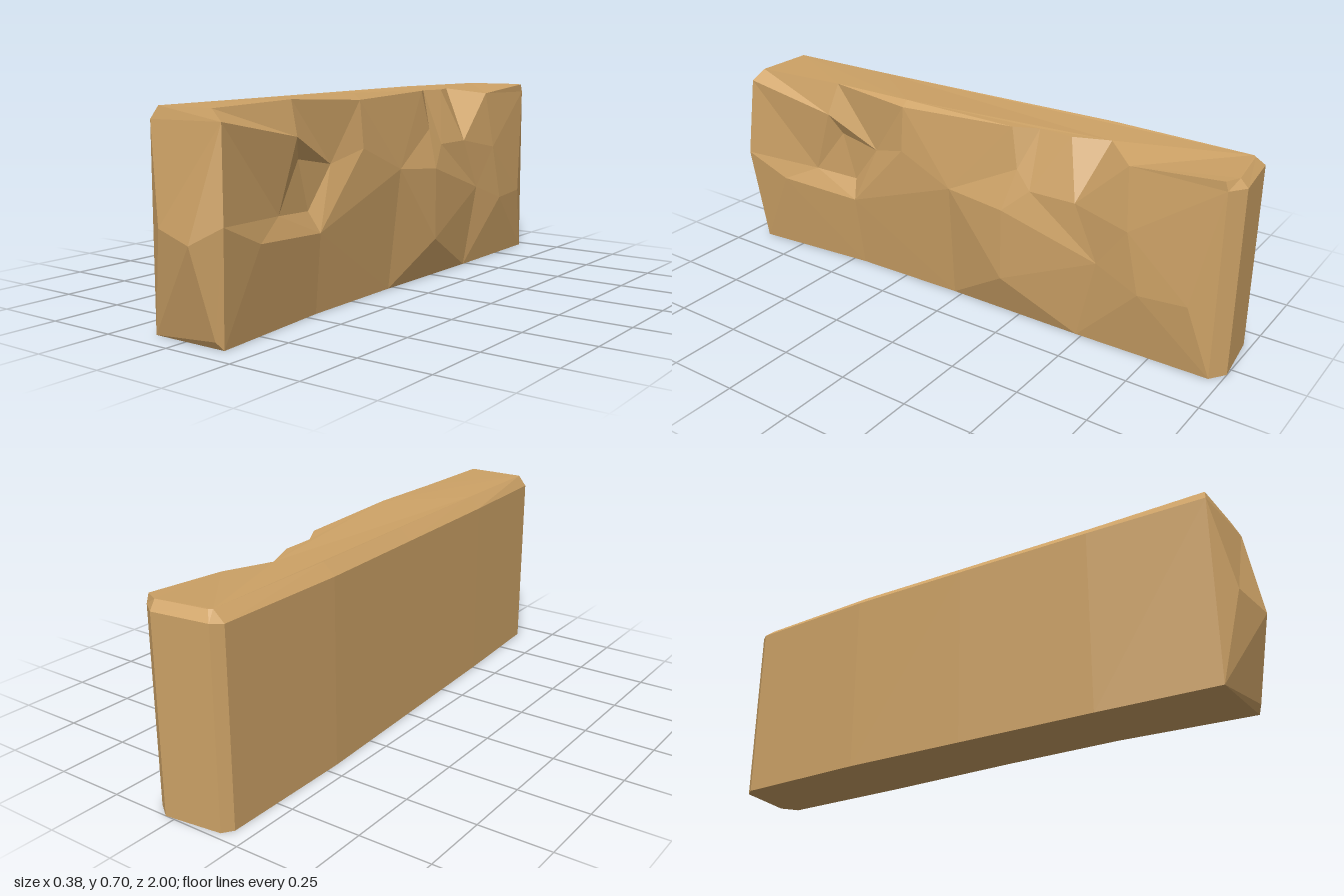
import * as THREE from 'three';

const V = (p) => new THREE.Vector3(...p);

// Collects triangles, turning each one to face the given direction.
function makeFacets(name, material) {
  const pos = [];
  const tri = (a, b, c, dir) => {
    const n = V(b).sub(V(a)).cross(V(c).sub(V(a)));
    if (n.length() < 1e-9) return;
    pos.push(...a, ...(n.dot(V(dir)) > 0 ? [...b, ...c] : [...c, ...b]));
  };
  const strip = (r1, r2, dir) => {
    for (let i = 0; i < r1.length - 1; i++) {
      tri(r1[i], r1[i + 1], r2[i], dir);
      tri(r1[i + 1], r2[i + 1], r2[i], dir);
    }
  };
  const cap = (loop, dir) => {
    const flat = loop.map((p) => new THREE.Vector2(p[0], p[2]));
    for (const t of THREE.ShapeUtils.triangulateShape(flat, [])) tri(...t.map((i) => loop[i]), dir);
  };
  const mesh = () => {
    const g = new THREE.BufferGeometry();
    g.setAttribute('position', new THREE.Float32BufferAttribute(pos, 3));
    g.computeVertexNormals();
    const m = new THREE.Mesh(g, material);
    m.name = name;
    return m;
  };
  return { tri, strip, cap, mesh };
}

// Delaunay triangulation of 2D points, returns index triples.
function delaunay(points) {
  const n = points.length;
  const p = [...points, [-1000, -900], [1000, -900], [0, 1100]];
  const circle = (t) => {
    const [[ax, ay], [bx, by], [cx, cy]] = t.map((i) => p[i]);
    const x1 = bx - ax, y1 = by - ay, x2 = cx - ax, y2 = cy - ay;
    const d = 2 * (x1 * y2 - y1 * x2), l1 = x1 * x1 + y1 * y1, l2 = x2 * x2 + y2 * y2;
    const ux = (y2 * l1 - y1 * l2) / d, uy = (x1 * l2 - x2 * l1) / d;
    return { t, x: ax + ux, y: ay + uy, r: ux * ux + uy * uy };
  };
  let tris = [circle([n, n + 1, n + 2])];
  for (let i = 0; i < n; i++) {
    const edges = new Map();
    tris = tris.filter((c) => {
      if ((p[i][0] - c.x) ** 2 + (p[i][1] - c.y) ** 2 >= c.r) return true;
      for (let k = 0; k < 3; k++) {
        const e = [c.t[k], c.t[(k + 1) % 3]].sort((a, b) => a - b);
        const key = e.join();
        if (edges.has(key)) edges.delete(key);
        else edges.set(key, e);
      }
      return false;
    });
    for (const [a, b] of edges.values()) tris.push(circle([a, b, i]));
  }
  return tris.map((c) => c.t).filter((t) => t.every((i) => i < n));
}

export function createModel() {
  const group = new THREE.Group();
  group.name = 'stoneBlock';
  const stone = new THREE.MeshStandardMaterial({ color: 0xcda266, flatShading: true });
  stone.name = 'sandstone';

  // Upper edge of the chipped side, front to back, with the notch
  const rim = [
    [0.115, 0.69, 0.91], [0.10, 0.697, 0.55], [0.10, 0.70, 0.23], [0.085, 0.69, -0.2],
    [0.04, 0.687, -0.28], [0.04, 0.685, -0.4], [-0.01, 0.683, -0.52], [0.10, 0.662, -0.64],
    [0.09, 0.685, -0.95],
  ];
  // Lower edge of the chipped side
  const foot = [[0.155, 0, 0.92], [0.11, 0, 0.45], [0.10, 0, 0.03], [0.10, 0, -0.48], [0.09, 0, -0.96]];
  const frontRidge = [0.19, 0.365, 0.95], frontShoulder = [0.165, 0.655, 0.925];
  const body = [
    frontRidge, frontShoulder, [0.125, 0.68, 0.23], [0.09, 0.655, -0.96],
    // dent: outline, then floor
    [0.175, 0.29, 0.78], [0.14, 0.585, 0.57], [0.14, 0.52, 0.23], [0.14, 0.27, 0.46],
    [0.13, 0.35, 0.65], [0.108, 0.51, 0.53], [0.11, 0.48, 0.37], [0.105, 0.34, 0.48],
    // bulges and notch base
    [0.145, 0.43, 0.02], [0.15, 0.41, -0.2], [0.15, 0.15, -0.2], [0.10, 0.55, -0.23],
    [0.115, 0.49, -0.29], [0.11, 0.49, -0.46], [0.115, 0.3, -0.55], [0.125, 0.45, -0.66],
    [0.13, 0.24, -0.71], [0.12, 0.25, -0.88],
  ];
  const side = makeFacets('chippedSide', stone);
  const pts = [...rim, ...foot, ...body];
  for (const t of delaunay(pts.map((p) => [p[2], p[1]]))) {
    if (t.every((i) => i < rim.length)) continue;
    side.tri(...t.map((i) => pts[i]), [1, 0, 0]);
  }
  group.add(side.mesh());

  // Smooth side: [z, outer x, bevelled top x]
  const stations = [
    [0.92, -0.125, -0.10], [0.5, -0.15, -0.11], [0, -0.172, -0.13], [-0.45, -0.192, -0.15], [-0.94, -0.19, -0.15],
  ];
  const low = stations.map(([z, x]) => [x, 0, z]);
  const shoulder = stations.map(([z, x]) => [x, 0.65, z]);
  const crest = stations.map(([z, , x], i) => [x, i === 4 ? 0.685 : 0.69, i ? z : 0.91]);
  const smooth = makeFacets('smoothSide', stone);
  smooth.strip(low, shoulder, [-1, 0, 0]);
  smooth.strip(shoulder, crest, [-1, 1, 0]);
  group.add(smooth.mesh());

  // Back end with bevelled corners and top edge
  const backXZ = [[-0.19, -0.94], [-0.165, -0.975], [0.035, -1], [0.09, -0.96]];
  const backLow = backXZ.map(([x, z]) => [x, 0, z]);
  const backHigh = backXZ.map(([x, z], i) => [x, i ? 0.655 : 0.65, z]);
  const backCrest = [crest[4], [-0.14, 0.685, -0.95], [0.04, 0.685, -0.975], rim[8]];
  const back = makeFacets('backEnd', stone);
  back.strip(backLow, backHigh, [0, 0, -1]);
  back.strip(backHigh, backCrest, [0, 1, -1]);
  group.add(back.mesh());

  // Broken front end
  const front = makeFacets('frontEnd', stone);
  const fz = [0, 0, 1];
  const a = [-0.05, 0.34, 0.97], b = [0.10, 0.31, 1], q = [0.135, 0.025, 0.935];
  const f0 = low[0], f1 = foot[0], f4 = shoulder[0];
  const facets = [
    [f0, f1, q], [f0, q, b], [f0, b, a], [q, f1, frontRidge], [q, frontRidge, b],
    [b, frontRidge, frontShoulder], [a, b, frontShoulder], [a, frontShoulder, f4], [f0, a, f4],
  ];
  for (const f of facets) front.tri(...f, fz);
  front.strip([f4, frontShoulder], [crest[0], rim[0]], [0, 1, 1]);
  group.add(front.mesh());

  // Top and underside
  const top = makeFacets('top', stone);
  top.cap([...rim, backCrest[2], backCrest[1], ...[...crest].reverse()], [0, 1, 0]);
  group.add(top.mesh());
  const base = makeFacets('underside', stone);
  base.cap([...foot, backLow[2], backLow[1], ...[...low].reverse()], [0, -1, 0]);
  group.add(base.mesh());

  return group;
}
